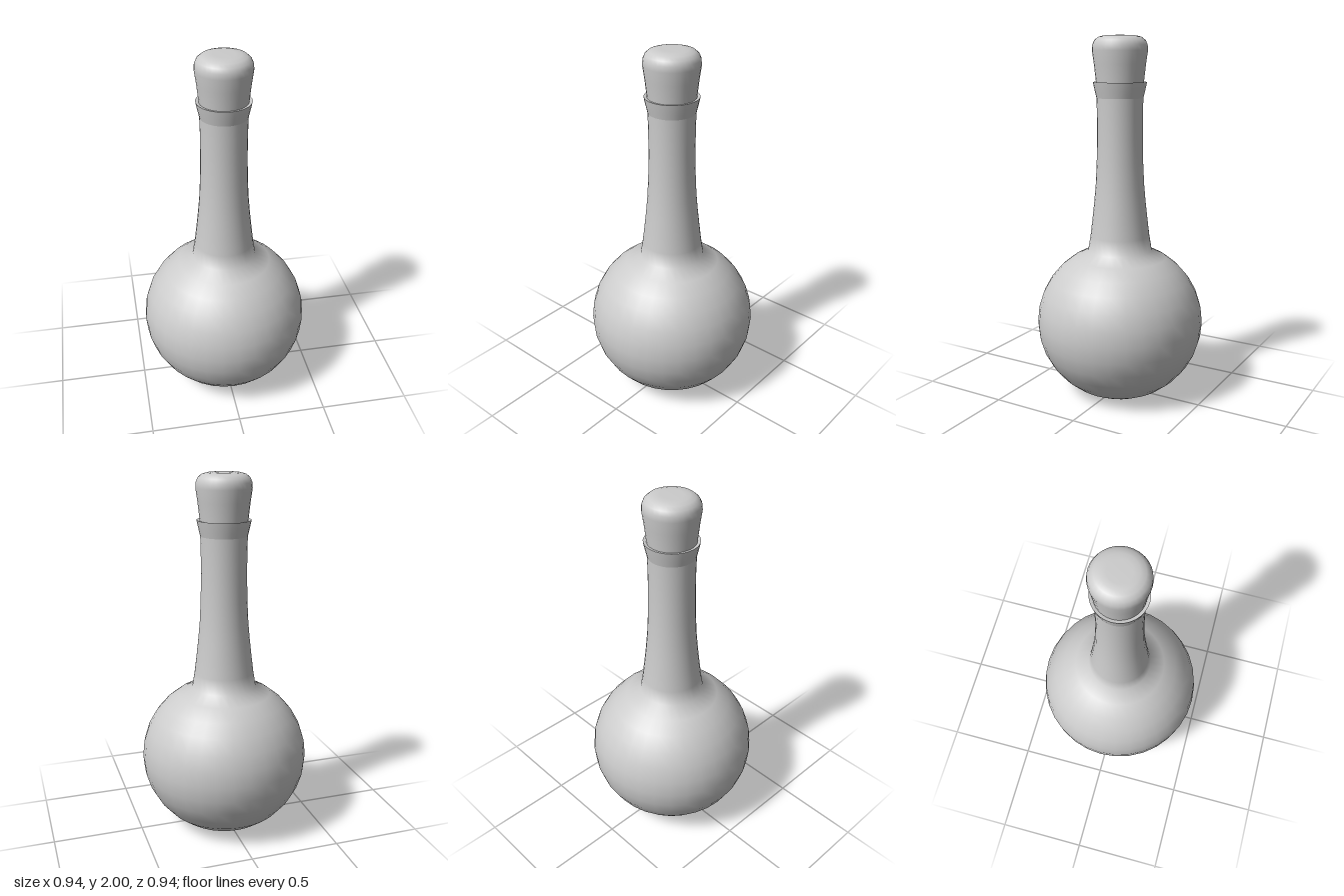
import * as THREE from 'three';

const SEGMENTS = 32;

export function createModel() {
  const group = new THREE.Group();
  const material = new THREE.MeshStandardMaterial({ color: 0xcccccc, side: THREE.DoubleSide });

  // Every part is a turned profile of [radius, height] pairs
  const turn = (name, profile) => {
    const points = profile.map(([r, y]) => new THREE.Vector2(r, y));
    const mesh = new THREE.Mesh(new THREE.LatheGeometry(points, SEGMENTS), material);
    mesh.name = name;
    group.add(mesh);
  };

  // Round bulb, slightly squashed and cut off at base and shoulder, running on into the neck
  const bulb = [];
  for (let i = -6; i <= 6; i++) {
    const a = (i * Math.PI) / 16;
    bulb.push([0.468 * Math.cos(a), 0.413 + 0.447 * Math.sin(a)]);
  }
  turn('bulbAndNeck', [
    ...bulb,
    [0.165, 0.91], [0.153, 1.01], [0.143, 1.1], [0.134, 1.2], [0.128, 1.32],
    [0.125, 1.45], [0.125, 1.58], [0.127, 1.67],
  ]);

  // Hollow under the base
  turn('baseRecess', [[0, 0.062], [0.13, 0.06], [0.15, 0.052], [0.165, 0.03], [0.179, 0]]);

  // Flared lip and its flat top
  turn('lip', [[0.127, 1.67], [0.134, 1.7], [0.141, 1.73], [0.146, 1.755]]);
  turn('lipTop', [[0.146, 1.755], [0.12, 1.75]]);

  // Tapered stopper with a rounded crown
  turn('stopper', [
    [0.124, 1.7], [0.131, 1.77], [0.14, 1.85], [0.15, 1.92], [0.148, 1.95],
    [0.138, 1.973], [0.118, 1.99], [0.09, 1.998], [0.06, 2], [0, 2],
  ]);

  return group;
}
